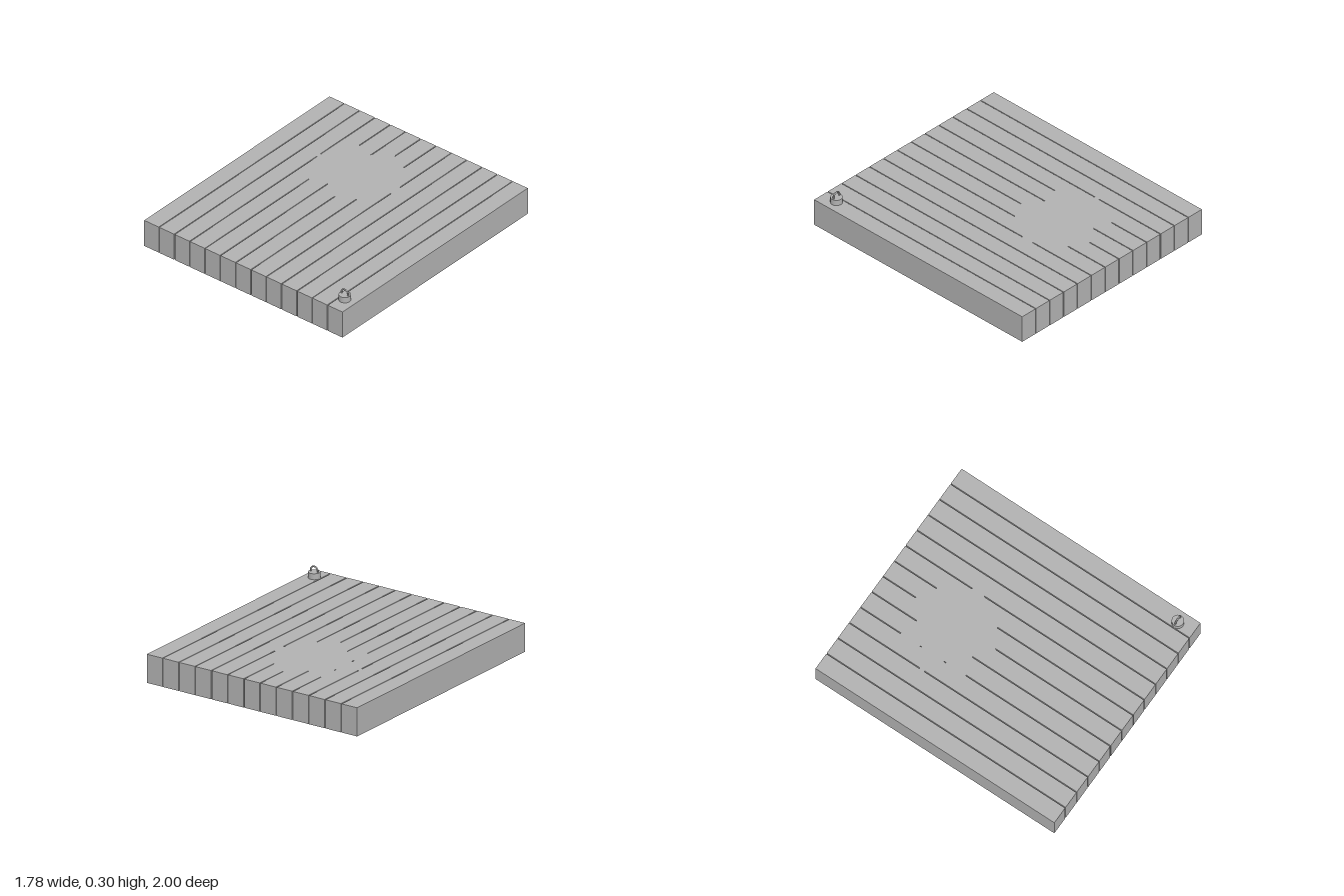
import * as THREE from 'three';

export function createModel() {
  const model = new THREE.Group();
  const grey = new THREE.MeshStandardMaterial({ color: 0xb2b2b2 });
  grey.name = 'grey';
  const stainGrey = new THREE.MeshStandardMaterial({ color: 0xb2b2b2, side: THREE.DoubleSide });
  stainGrey.name = 'stain grey';

  const add = (parent, name, geometry, material, x, y, z) => {
    const mesh = new THREE.Mesh(geometry, material);
    mesh.name = name;
    mesh.position.set(x, y, z);
    parent.add(mesh);
    return mesh;
  };

  // Row of thirteen planks with narrow gaps
  const count = 13, pitch = 0.1374, height = 0.212;
  const plank = new THREE.BoxGeometry(0.131, height, 2);
  const planks = new THREE.Group();
  planks.name = 'planks';
  model.add(planks);
  for (let i = 0; i < count; i++) {
    add(planks, `plank${i + 1}`, plank, grey, (i - (count - 1) / 2) * pitch, height / 2, 0);
  }

  // Flat eight-pointed splash lying on the planks
  const star = new THREE.Shape();
  for (let i = 0; i < 16; i++) {
    const a = (i * Math.PI) / 8, r = i % 2 ? 0.252 : 0.41;
    const x = r * Math.cos(a), y = r * Math.sin(a);
    if (i) star.lineTo(x, y);
    else star.moveTo(x, y);
  }
  star.closePath();
  const splash = new THREE.ShapeGeometry(star).rotateX(-Math.PI / 2);
  add(model, 'splash', splash, stainGrey, -0.11, height + 0.002, -0.39);

  // Small lifting eye at the front corner: round base and arched ring
  const eye = new THREE.Group();
  eye.name = 'liftingEye';
  eye.position.set(0.803, height, 0.87);
  model.add(eye);
  add(eye, 'eyeBase', new THREE.CylinderGeometry(0.043, 0.043, 0.044, 32), grey, 0, 0.022, 0);
  add(eye, 'eyeRing', new THREE.TorusGeometry(0.03, 0.006, 10, 32), grey, 0, 0.052, 0);

  return model;
}
